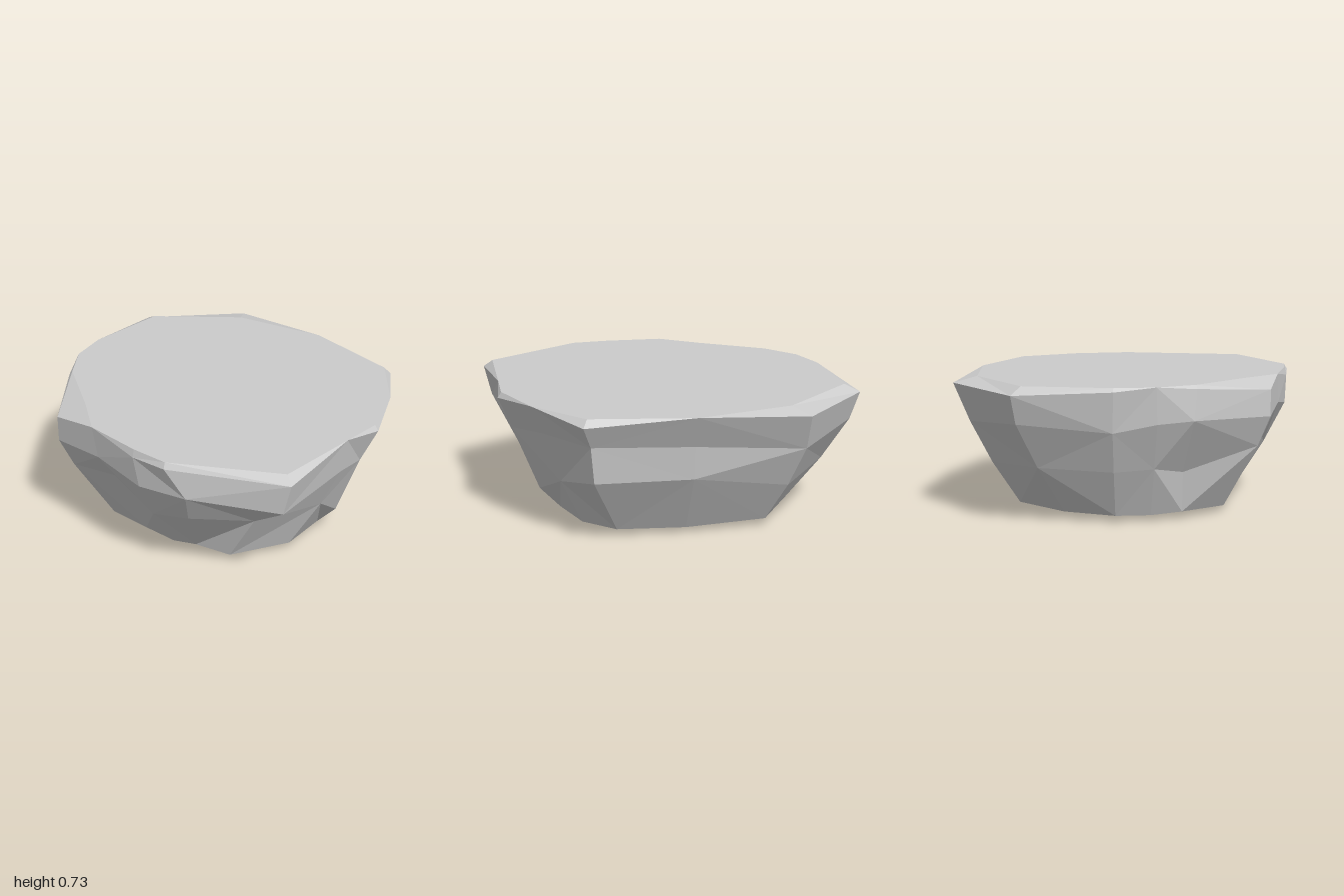
import * as THREE from 'three';

// Outline loops as [x, y, z], running from the left-front corner round the front
const RIM = [
  [1, 0.69, 0.49], [0.46, 0.7, 0.83], [0.25, 0.69, 0.85], [-0.08, 0.73, 0.84], [-0.37, 0.68, 0.84],
  [-0.68, 0.71, 0.51], [-0.82, 0.73, 0.33], [-0.91, 0.71, 0.13], [-1, 0.69, -0.37], [-0.62, 0.7, -0.81],
  [-0.03, 0.73, -0.85], [0.54, 0.69, -0.82], [0.78, 0.73, -0.52], [0.94, 0.7, -0.23], [0.93, 0.73, 0],
];
const LEDGE = [
  [0.96, 0.52, 0.5], [0.56, 0.55, 0.78], [0.28, 0.53, 0.84], [-0.04, 0.57, 0.84], [-0.37, 0.54, 0.84],
  [-0.7, 0.55, 0.5], [-0.8, 0.54, 0.33], [-0.88, 0.5, 0.12], [-0.95, 0.54, -0.36], [-0.62, 0.5, -0.72],
  [-0.03, 0.55, -0.76], [0.5, 0.57, -0.76], [0.72, 0.57, -0.48], [0.87, 0.52, -0.18], [0.9, 0.54, 0],
];
const BASE = [
  [0.5, 0.02, 0.41], [0.3, 0.02, 0.47], [0.2, 0.03, 0.54], [0, 0.03, 0.56], [-0.25, 0.03, 0.58],
  [-0.5, 0.04, 0.4], [-0.58, 0.03, 0.25], [-0.66, 0.035, 0.08], [-0.64, 0.04, -0.2], [-0.46, 0.04, -0.5],
  [-0.02, 0.03, -0.54], [0.35, 0.04, -0.54], [0.52, 0.04, -0.4], [0.62, 0.04, -0.15], [0.66, 0.04, 0.12],
];

// How far the flat top is chipped back at each rim corner
const CHIP = [0.95, 0.98, 0.985, 1, 0.83, 0.98, 1, 0.98, 0.92, 0.87, 0.99, 0.96, 1, 0.98, 1];
// Waist: position between ledge and base, and bulge (>1) or dent (<1)
const DROP = [0.42, 0.35, 0.45, 0.27, 0.32, 0.57, 0.48, 0.46, 0.48, 0.5, 0.35, 0.38, 0.52, 0.75, 0.43];
const BULGE = [0.88, 1.03, 1.03, 0.97, 1.02, 0.93, 1, 1.01, 1.02, 1.02, 1.08, 1.09, 1.03, 1.07, 1.02];

const TOP_Y = 0.73;

function rockGeometry() {
  const cap = RIM.map(([x, , z], i) => [x * CHIP[i], TOP_Y, z * CHIP[i]]);
  const waist = LEDGE.map((p, i) => {
    const [x, y, z] = p.map((v, k) => THREE.MathUtils.lerp(v, BASE[i][k], DROP[i]));
    return [x * BULGE[i], y, z * BULGE[i]];
  });
  const sole = BASE.map(([x, , z], i) => [x * 0.72, i % 3 ? 0.01 : 0.015, z * 0.72]);
  const rings = [cap, RIM, LEDGE, waist, BASE, sole];
  const n = RIM.length;
  const positions = [];
  const tri = (...corners) => corners.forEach((c) => positions.push(...c));

  for (let i = 0; i < n; i++) {
    const j = (i + 1) % n;
    // Flat top and underside
    tri([0, TOP_Y, 0], cap[j], cap[i]);
    tri([-0.1, 0, -0.3], sole[i], sole[j]);
    // Faceted walls, with alternating diagonals
    for (let r = 0; r < rings.length - 1; r++) {
      const a = rings[r][i], b = rings[r][j], c = rings[r + 1][i], d = rings[r + 1][j];
      if ((i + r) % 2) {
        tri(a, b, d);
        tri(a, d, c);
      } else {
        tri(a, b, c);
        tri(b, d, c);
      }
    }
  }
  const geometry = new THREE.BufferGeometry();
  geometry.setAttribute('position', new THREE.Float32BufferAttribute(positions, 3));
  geometry.computeVertexNormals();
  return geometry;
}

export function createModel() {
  const group = new THREE.Group();
  group.name = 'flatToppedRock';
  const material = new THREE.MeshStandardMaterial({ color: 0xcccccc, flatShading: true });
  const rock = new THREE.Mesh(rockGeometry(), material);
  rock.name = 'rock';
  group.add(rock);
  return group;
}
